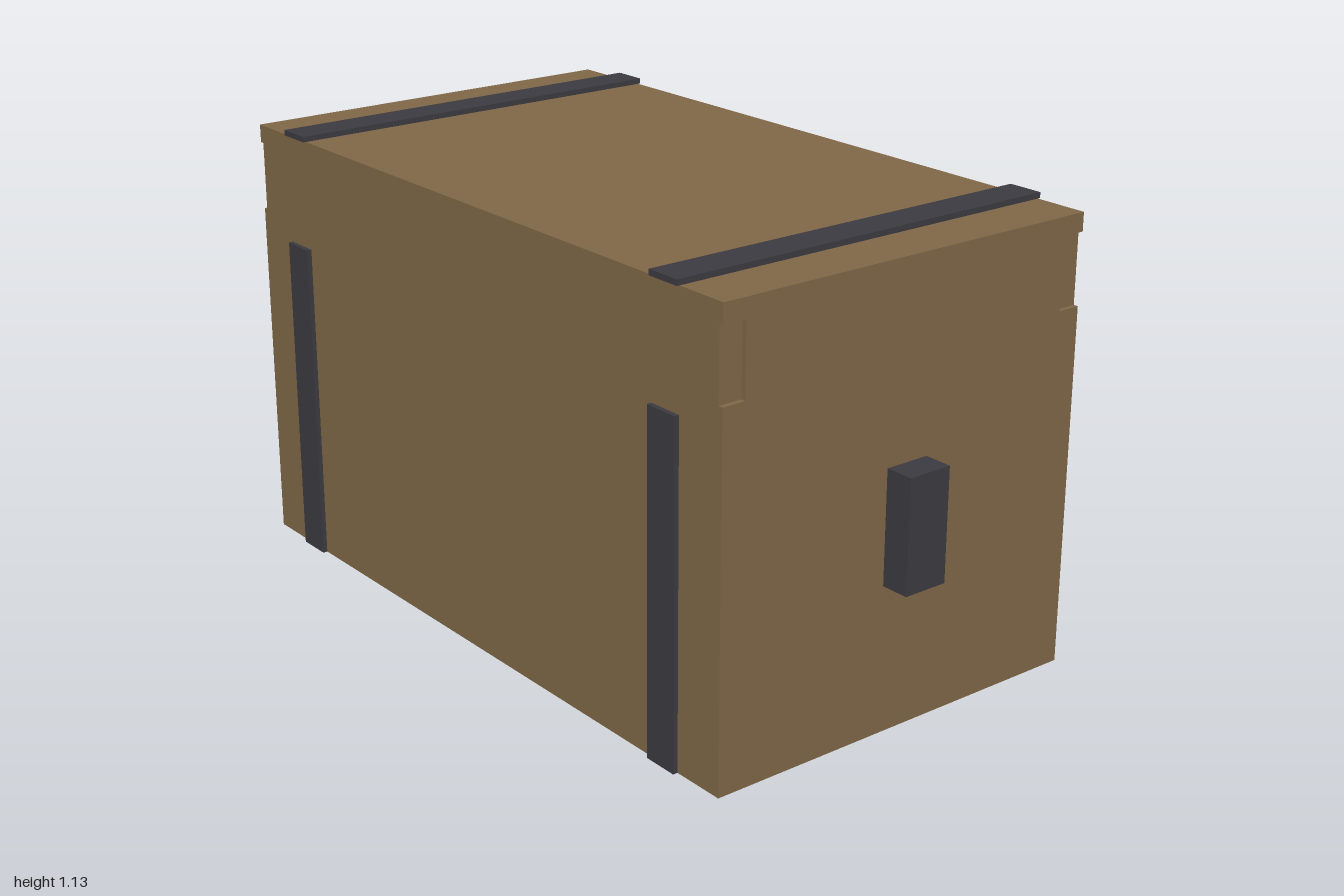
import * as THREE from 'three';

export function createModel() {
  const group = new THREE.Group();
  group.name = 'storageCrate';
  const wood = new THREE.MeshStandardMaterial({ color: 0x806848 });
  wood.name = 'brown wood';
  const metal = new THREE.MeshStandardMaterial({ color: 0x3c3b41 });
  metal.name = 'dark metal';

  // Box given by its lower and upper limits on each axis
  function box(name, material, x0, x1, y0, y1, z0, z1) {
    const mesh = new THREE.Mesh(new THREE.BoxGeometry(x1 - x0, y1 - y0, z1 - z0), material);
    mesh.position.set((x0 + x1) / 2, (y0 + y1) / 2, (z0 + z1) / 2);
    mesh.name = name;
    group.add(mesh);
    return mesh;
  }

  const X = 0.928, BACK = -0.494, FRONT = 0.554, TOP = 1.116;
  const NOTCH_LOW = 0.894, NOTCH_HIGH = 1.07, NOTCH_DEPTH = 0.012, NOTCH_LENGTH = 0.06;

  // Body and lid, with a band between them that is notched at the four corners
  box('body', wood, -X, X, 0, NOTCH_LOW, BACK, FRONT);
  box('lid', wood, -X, X, NOTCH_HIGH, TOP, BACK, FRONT);
  const inner = X - NOTCH_DEPTH;
  const outline = [
    [-inner, BACK], [inner, BACK], [inner, BACK + NOTCH_LENGTH], [X, BACK + NOTCH_LENGTH],
    [X, FRONT - NOTCH_LENGTH], [inner, FRONT - NOTCH_LENGTH], [inner, FRONT], [-inner, FRONT],
    [-inner, FRONT - NOTCH_LENGTH], [-X, FRONT - NOTCH_LENGTH],
    [-X, BACK + NOTCH_LENGTH], [-inner, BACK + NOTCH_LENGTH],
  ].map(([x, z]) => new THREE.Vector2(x, -z));
  const bandGeometry = new THREE.ExtrudeGeometry(new THREE.Shape(outline), {
    depth: NOTCH_HIGH - NOTCH_LOW, bevelEnabled: false,
  });
  bandGeometry.rotateX(-Math.PI / 2);
  const band = new THREE.Mesh(bandGeometry, wood);
  band.position.y = NOTCH_LOW;
  band.name = 'notchedBand';
  group.add(band);

  // Straps and handles, mirrored left and right
  for (const [side, s] of [['left', 1], ['right', -1]]) {
    const mirrored = (name, a, b, ...rest) =>
      box(side + name, metal, Math.min(s * a, s * b), Math.max(s * a, s * b), ...rest);
    mirrored('FrontStrap', 0.697, 0.789, 0, 0.836, FRONT, 0.566);
    mirrored('BackStrap', 0.697, 0.789, 0, 0.836, -0.507, BACK);
    mirrored('TopStrap', 0.697, 0.789, TOP, 1.13, -0.501, 0.561);
    mirrored('Handle', X, 1, 0.364, 0.644, -0.03, 0.087);
  }

  // Latch on the back: hasp, lock plate and ring
  box('hasp', metal, -0.047, 0.047, 0.8, 1.024, -0.513, BACK);
  box('lockPlate', metal, -0.058, 0.058, 0.7, 0.836, -0.523, BACK);
  const ring = new THREE.Mesh(new THREE.TorusGeometry(0.029, 0.006, 6, 8), metal);
  ring.rotation.y = Math.PI / 2;
  ring.position.set(0, 0.789, -0.53);
  ring.name = 'latchRing';
  group.add(ring);

  return group;
}
